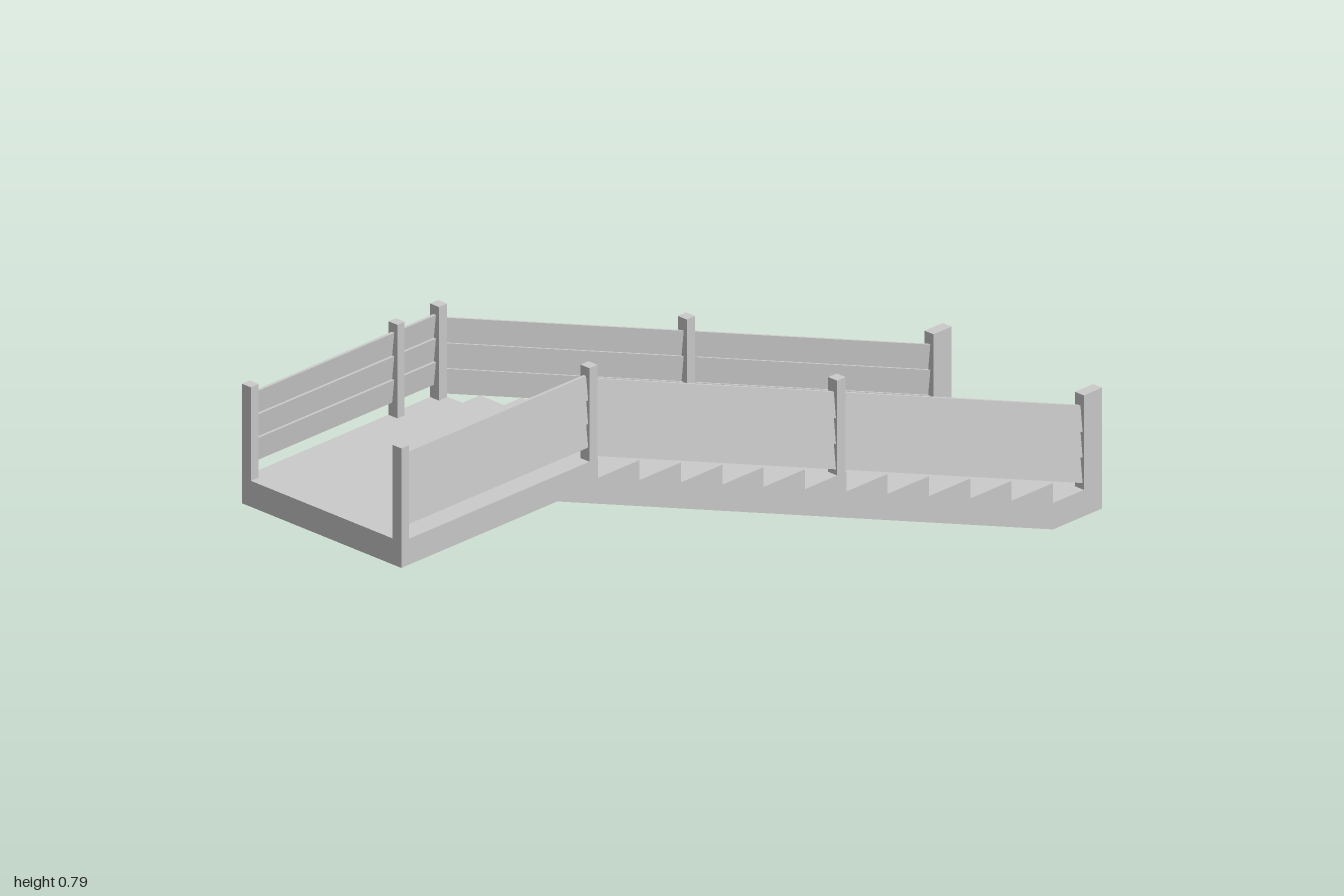
import * as THREE from 'three';

const STEPS = 12, RUN = 0.118, RISE = 0.0437;
const FIRST_Z = -0.86, FIRST_Y = 0.058;   // nose end and top of the lowest tread
const THICK = 0.013;                      // tread and deck thickness
const HALF = 0.222, STRINGER = 0.062;
const DECK_Z = FIRST_Z + (STEPS - 1) * RUN, DECK_Y = 0.582;
const SLOPE = RISE / RUN;

export function createModel() {
  const model = new THREE.Group();
  const material = new THREE.MeshStandardMaterial({ color: 0xcccccc, flatShading: true });

  const add = (name, geometry) => {
    const mesh = new THREE.Mesh(geometry, material);
    mesh.name = name;
    model.add(mesh);
    return mesh;
  };
  // Box given by its limits on each axis
  const block = (name, x0, x1, y0, y1, z0, z1) => {
    const mesh = add(name, new THREE.BoxGeometry(x1 - x0, y1 - y0, z1 - z0));
    mesh.position.set((x0 + x1) / 2, (y0 + y1) / 2, (z0 + z1) / 2);
  };

  const treadEnd = i => FIRST_Z + i * RUN;
  const treadTop = i => FIRST_Y + i * RISE;

  // Treads with open risers
  for (let i = 0; i < STEPS; i++) {
    block('tread', -HALF, HALF, treadTop(i) - THICK, treadTop(i), i ? treadEnd(i - 1) : -1, treadEnd(i));
  }

  // Landing deck and the cross beams at both ends
  block('landingDeck', -HALF, HALF, DECK_Y - THICK, DECK_Y, DECK_Z, 1);
  block('landingBeam', -HALF + STRINGER, HALF - STRINGER, 0.525, DECK_Y - THICK, 0.94, 1);
  block('bottomBeam', -HALF + STRINGER, HALF - STRINGER, 0, FIRST_Y - THICK, -1, -0.95);

  // Sawtooth stringer outline in (z, y)
  const outline = new THREE.Shape();
  outline.moveTo(-1, 0);
  outline.lineTo(-0.86, 0);
  outline.lineTo(0.555, 0.525);
  outline.lineTo(1, 0.525);
  outline.lineTo(1, DECK_Y - THICK);
  outline.lineTo(DECK_Z, DECK_Y - THICK);
  for (let i = STEPS - 1; i >= 0; i--) {
    outline.lineTo(treadEnd(i), treadTop(i) - THICK);
    outline.lineTo(i ? treadEnd(i - 1) : -1, treadTop(i) - THICK);
  }
  outline.closePath();

  // One railing plank: leans inward at its top and follows the slope
  const plank = (side, z0, z1, yBottom, height, slope) => {
    const g = new THREE.BoxGeometry(0.007, height, z1 - z0);
    g.translate(0, height / 2, (z0 + z1) / 2);
    const p = g.attributes.position;
    for (let i = 0; i < p.count; i++) {
      const lean = 0.215 - 0.006 * p.getY(i) / height;
      p.setX(i, p.getX(i) + side * lean);
      p.setY(i, p.getY(i) + yBottom + slope * (p.getZ(i) - z0));
    }
    g.computeVertexNormals();
    add('railPlank', g);
  };

  for (const side of [-1, 1]) {
    const stringer = new THREE.ExtrudeGeometry(outline, { depth: STRINGER, bevelEnabled: false });
    stringer.rotateY(-Math.PI / 2);
    stringer.translate(side > 0 ? HALF : -HALF + STRINGER, 0, 0);
    add('stringer', stringer);

    // Posts: [bottom, top, back, front]
    const posts = [
      [0, 0.265, -1, -0.948],
      [0.31, 0.528, -0.268, -0.244],
      [0.575, 0.787, 0.44, 0.463],
      [0.575, 0.787, 0.978, 1],
    ];
    if (side < 0) posts.push([0.575, 0.787, 0.561, 0.582]);
    for (const [y0, y1, z0, z1] of posts) {
      block('railPost', side > 0 ? 0.197 : -HALF, side > 0 ? HALF : -0.197, y0, y1, z0, z1);
    }

    // Three planks per railing panel
    for (let k = 0; k < 3; k++) {
      const h = 0.168 / 3, hFlat = 0.155 / 3;
      plank(side, -0.95, 0.445, 0.071 + k * h, h, SLOPE);
      plank(side, 0.46, 0.98, 0.612 + k * hFlat, hFlat, 0);
    }
  }
  return model;
}
